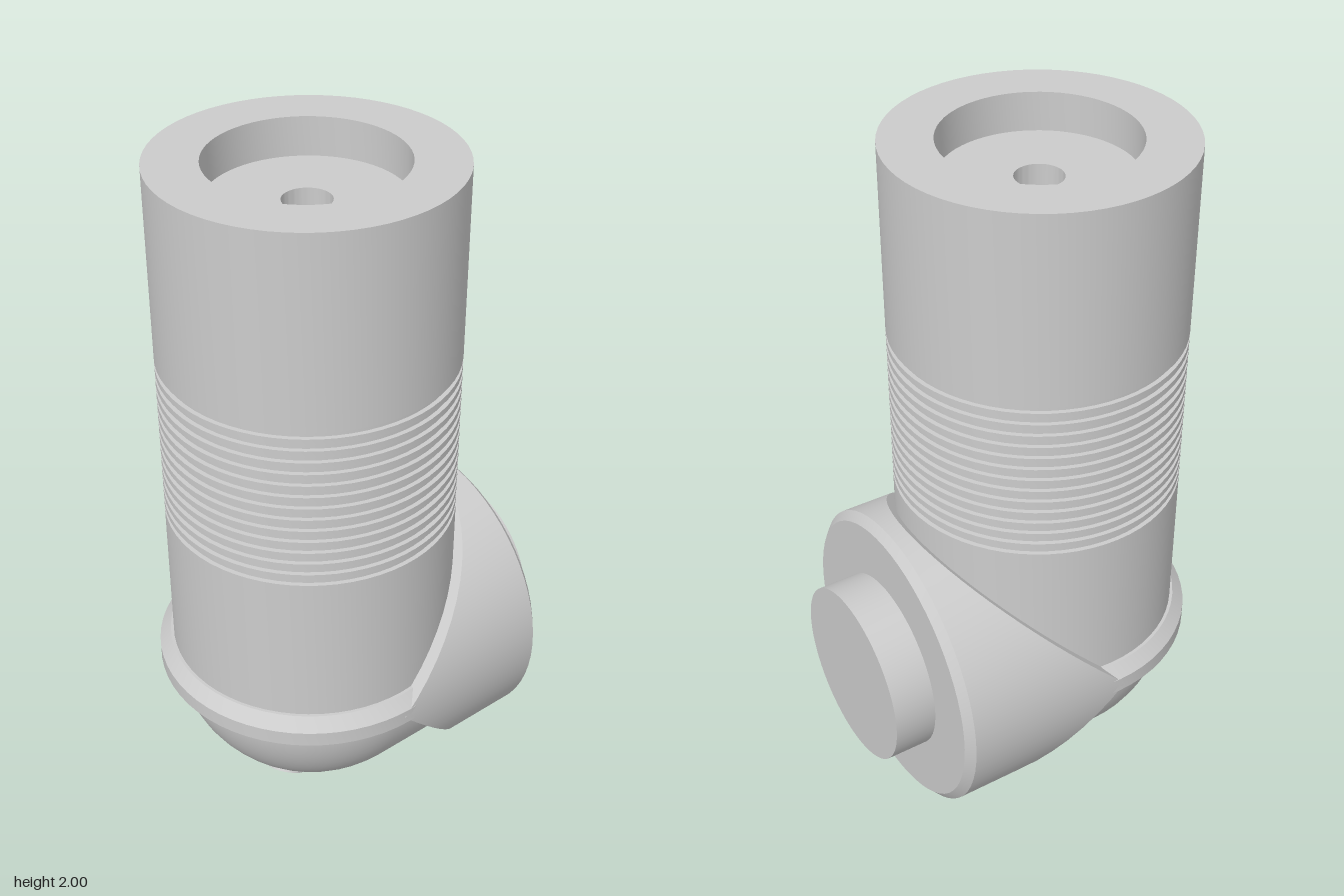
import * as THREE from 'three';
import { toCreasedNormals } from 'three/addons/utils/BufferGeometryUtils.js';

const SEG = 64;
const R = 0.413;        // tube radius
const COLLAR = 0.455;   // collar and side housing radius
const CY = 0.457;       // height of the horizontal axis
const CZ = 0.088;       // depth of the vertical axis

const material = new THREE.MeshStandardMaterial({ color: 0xcccccc });

function part(name, geometry, crease = 0.45) {
  const mesh = new THREE.Mesh(toCreasedNormals(geometry, crease), material);
  mesh.name = name;
  return mesh;
}

const lathe = (pts) =>
  new THREE.LatheGeometry(pts.map(([r, y]) => new THREE.Vector2(r, y)), SEG);

export function createModel() {
  const group = new THREE.Group();
  group.name = 'elbowFitting';

  // Upright tube with a grooved grip and a stepped bore in the top
  const tube = [[R, CY]];
  const grooves = 14, gripBottom = 0.975, gripTop = 1.455;
  const pitch = (gripTop - gripBottom) / (grooves - 0.5);
  for (let i = 0; i < grooves; i++) {
    const y = gripBottom + i * pitch;
    tube.push([R, y], [R - 0.013, y], [R - 0.013, y + pitch / 2], [R, y + pitch / 2]);
  }
  tube.push([R, 2], [0.267, 2], [0.267, 1.89], [0.067, 1.89], [0.067, 1.74], [0, 1.74]);
  const body = part('uprightTube', lathe(tube));
  body.position.z = CZ;
  group.add(body);

  // Chamfered collar around the foot of the tube
  const collar = part('collar', lathe([
    [R - 0.01, 0.395], [R, 0.4], [COLLAR, 0.435], [COLLAR, 0.48], [0.422, 0.515], [R - 0.02, 0.515],
  ]));
  collar.position.z = CZ;
  group.add(collar);

  // Rounded elbow: horizontal cylinder ending in a hemisphere
  const elbow = [[R, -0.46]];
  for (let i = 0; i <= 16; i++) {
    const a = (i / 16) * Math.PI / 2;
    elbow.push([R * Math.cos(a), R * Math.sin(a)]);
  }
  const elbowMesh = part('roundedElbow', lathe(elbow).rotateX(Math.PI / 2));
  elbowMesh.position.set(0, CY, CZ);
  group.add(elbowMesh);

  // Side housing with back spigot; its front is mitred at 45 degrees above and below
  const front = CZ + 0.02;
  const housing = lathe([
    [0, -0.545], [0.267, -0.545], [0.267, -0.42], [0.43, -0.42],
    [COLLAR, -0.397], [COLLAR, front], [0, front],
  ]).rotateX(Math.PI / 2);
  const p = housing.attributes.position;
  for (let i = 0; i < p.count; i++) {
    if (p.getZ(i) > front - 1e-4) p.setZ(i, front - Math.abs(p.getY(i)));
  }
  const housingMesh = part('sideHousing', housing);
  housingMesh.position.y = CY;
  group.add(housingMesh);

  // Four small studs seated square to the underside of the elbow
  for (const x of [-0.115, 0.115]) {
    for (const z of [0, 0.28]) {
      const dz = Math.max(0, z - CZ);
      const normal = new THREE.Vector3(x, -Math.sqrt(R * R - x * x - dz * dz), dz).normalize();
      const stud = part('stud', new THREE.CylinderGeometry(0.055, 0.055, 0.03, 32));
      stud.quaternion.setFromUnitVectors(new THREE.Vector3(0, 1, 0), normal);
      stud.position.set(0, CY, z - dz).addScaledVector(normal, R - 0.009);
      group.add(stud);
    }
  }
  return group;
}
